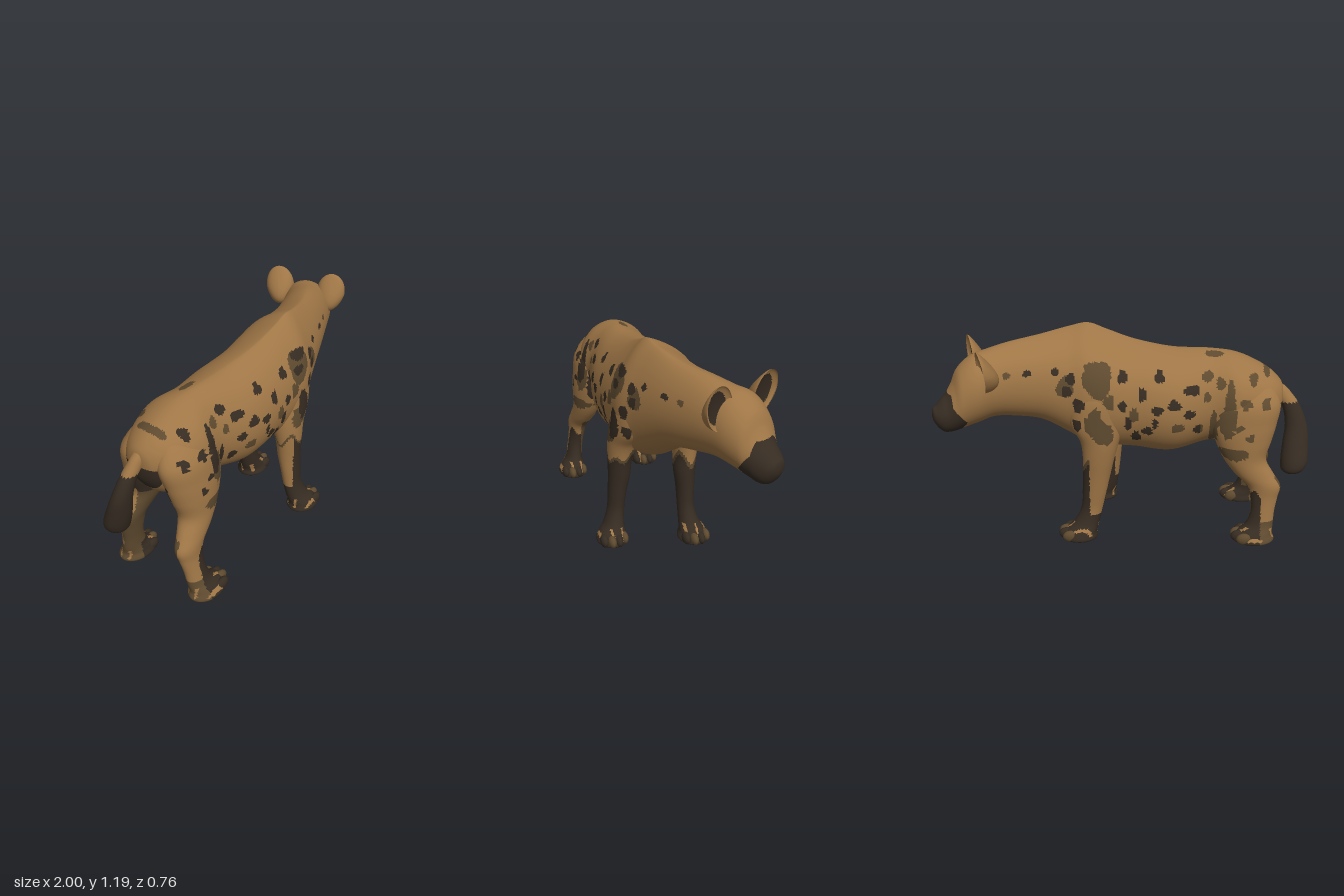
import * as THREE from 'three';

const mat = (name, color) => Object.assign(new THREE.MeshStandardMaterial({ color }), { name });
const coats = [mat('tan fur', 0x9f7646), mat('brown patch', 0x5e4a2f), mat('dark fur', 0x362c22)];
const TAN = 0, BROWN = 1, DARK = 2;

// Smooth interpolation through a table of cross-sections
function sample(rows, t) {
  const n = rows.length - 1, i = Math.min(Math.floor(t * n), n - 1), f = t * n - i;
  const at = (k) => rows[Math.max(0, Math.min(n, k))];
  return rows[0].map((_, c) => {
    const [a, b, d, e] = [at(i - 1)[c], at(i)[c], at(i + 1)[c], at(i + 2)[c]];
    return b + 0.5 * f * (d - a + f * (2 * a - 5 * b + 4 * d - e + f * (3 * (b - d) + e - a)));
  });
}

// Sort the faces into one group for each coat colour
function paintFaces(geo, paint) {
  const p = geo.attributes.position, idx = geo.index.array, bins = [[], [], []];
  for (let i = 0; i < idx.length; i += 3) {
    const tri = [idx[i], idx[i + 1], idx[i + 2]];
    const mid = (get) => tri.reduce((s, v) => s + get.call(p, v), 0) / 3;
    bins[paint(mid(p.getX), mid(p.getY), mid(p.getZ))].push(...tri);
  }
  geo.setIndex(bins.flat());
  geo.clearGroups();
  let start = 0;
  bins.forEach((b, m) => { if (b.length) geo.addGroup(start, b.length, m); start += b.length; });
  geo.computeVertexNormals();
  return geo;
}

// Skin closed rings; ring(t, angle) gives a point
function loft(name, ring, nu, nv, paint) {
  const pos = [], idx = [];
  for (let i = 0; i <= nu; i++) for (let j = 0; j < nv; j++) pos.push(...ring(i / nu, (j / nv) * Math.PI * 2));
  for (let i = 0; i < nu; i++) for (let j = 0; j < nv; j++) {
    const k = (j + 1) % nv, a = i * nv + j, b = i * nv + k, c = a + nv, d = b + nv;
    idx.push(...((i + j) % 2 ? [a, c, b, b, c, d] : [a, c, d, a, d, b]));
  }
  const geo = new THREE.BufferGeometry();
  geo.setAttribute('position', new THREE.Float32BufferAttribute(pos, 3));
  geo.setIndex(idx);
  const mesh = new THREE.Mesh(paintFaces(geo, paint), coats);
  mesh.name = name;
  return mesh;
}

// Spots: x, y, radius in x, radius in y
const darkSpots = [
  [-.67, .945, .022, .03], [-.43, .96, .03, .025], [-.35, .9, .045, .025], [-.18, .965, .026, .028],
  [-.26, .83, .035, .028], [-.34, .775, .03, .025], [-.63, .83, .03, .028], [-.74, .83, .024, .03],
  [-.6, .7, .025, .02], [-.66, .65, .02, .02], [.01, .965, .026, .03], [-.09, .88, .022, .035],
  [-.17, .8, .03, .025], [.01, .82, .022, .03], [.28, .955, .025, .03], [.36, .99, .018, .018],
  [.5, .99, .022, .016], [.3, .89, .025, .03], [.24, .82, .03, .035], [.25, .71, .022, .035],
  [-.39, .68, .025, .03], [-.12, .68, .03, .025], [-.06, .64, .025, .035], [-.02, .72, .02, .04],
  [-.16, .73, .015, .03]];
// Large blotches, paler on the far side
const blotches = [
  [.155, 1.01, .055, .03], [.13, .935, .04, .025], [.155, .72, .048, .085], [-.55, .81, .03, .13],
  [-.47, .68, .022, .11]];
const brownSpots = [
  [-.58, .55, .08, .035], [.14, .95, .075, .09], [.11, .66, .055, .06], [.31, .91, .045, .055],
  [-.28, .7, .035, .025], [.6, .99, .02, .016], [-.75, .96, .02, .02], [-.54, .72, .045, .08],
  [.08, .84, .03, .04], [-.43, .86, .02, .025], [-.05, .77, .025, .04], [-.5, .93, .025, .03]];
const hit = (list, x, y) => list.some(([cx, cy, rx, ry], i) => {
  const dx = (x - cx) / rx, dy = (y - cy) / ry, a = Math.atan2(dy, dx);
  return Math.hypot(dx, dy) < 1 + 0.1 * Math.sin(3 * a + i);
});
function spots(x, y, z) {
  if (hit(darkSpots, x, y)) return z < 0 && x < -0.4 ? BROWN : DARK;
  if (hit(blotches, x, y)) return z > 0 ? DARK : BROWN;
  return hit(brownSpots, x, y) ? BROWN : TAN;
}

// Trunk, neck and head: x, top, bottom, z, half width, ridge
const trunk = [
  [-.85, .84, .8, .01, 0, 0], [-.83, .9, .7, .015, .085, 0], [-.75, .97, .6, .02, .165, .1],
  [-.6, 1.04, .56, .02, .21, .2], [-.45, 1.06, .55, .025, .19, .4], [-.25, 1.065, .495, .025, .235, .5],
  [-.05, 1.1, .51, .035, .23, .7], [.1, 1.15, .52, .03, .23, 1], [.2, 1.185, .53, .03, .222, 1],
  [.3, 1.17, .59, .02, .19, .9], [.45, 1.14, .68, -.015, .16, .6], [.6, 1.12, .72, -.07, .145, .3],
  [.7, 1.1, .735, -.115, .142, .1], [.78, 1.08, .72, -.16, .145, -.1], [.85, 1.02, .7, -.19, .125, -.2],
  [.885, .945, .69, -.205, .105, -.1], [.915, .895, .685, -.215, .09, 0], [.943, .865, .69, -.228, .077, 0],
  [.967, .838, .715, -.238, .06, 0], [.986, .82, .75, -.245, .035, 0], [.992, .79, .78, -.247, 0, 0]];
function trunkRing(t, a) {
  const [x, top, bot, z, w, rise] = sample(trunk, t);
  const ridge = Math.max(0, rise), yaw = 0.38 * THREE.MathUtils.smoothstep(x, 0.25, 0.8);
  const s = Math.sin(a), c = Math.cos(a), up = Math.max(0, s);
  const full = Math.sign(c) * Math.abs(c) ** (1 + 0.5 * up * up * ridge);
  const side = Math.max(0, w) * full * (1 - 0.14 * rise * s) + 0.06 * ridge * up ** 4;
  return [x + side * Math.sin(yaw), (top + bot) / 2 + s * (top - bot) / 2, z + side * Math.cos(yaw)];
}
function trunkPaint(x, y, z) {
  // Distance along the turned muzzle
  const ahead = x * 0.93 - (z + 0.22) * 0.37, lip = y - 0.755;
  if (y < 0.9 && ahead > Math.min(0.832, 0.768 + Math.max(0.75 * lip, -0.5 * lip))) return DARK;
  if (x < -0.8 && y < 0.8) return DARK;
  if (y > 1 && Math.hypot((x + 0.47) / 0.05, z / 0.025) < 1) return BROWN;
  return spots(x, y, z);
}

// Legs and tail: y, x, z, half length in x, half width in z
const hind = [
  [.97, -.62, .1, 0, 0], [.93, -.63, .11, .11, .05], [.82, -.64, .14, .18, .1], [.7, -.63, .162, .175, .1],
  [.6, -.63, .175, .15, .095], [.5, -.64, .19, .115, .08], [.42, -.69, .21, .105, .065],
  [.35, -.745, .225, .092, .055], [.28, -.75, .235, .075, .047], [.2, -.745, .25, .065, .045],
  [.12, -.73, .265, .075, .05], [.075, -.7, .28, .1, .07], [.03, -.695, .287, .11, .08], [.02, -.695, .287, 0, 0]];
const fore = [
  [.99, .14, .12, 0, 0], [.94, .14, .13, .1, .065], [.84, .14, .165, .15, .086], [.7, .13, .18, .145, .09],
  [.6, .105, .2, .105, .078], [.5, .1, .216, .085, .065], [.4, .1, .222, .075, .059], [.3, .1, .235, .066, .05],
  [.2, .105, .247, .06, .046], [.12, .125, .265, .07, .055], [.07, .153, .285, .09, .074],
  [.028, .157, .289, .095, .08], [.02, .157, .289, 0, 0]];
const tail = [
  [.9, -.77, .02, 0, 0], [.87, -.8, .015, .05, .03], [.82, -.85, .01, .05, .035], [.75, -.9, 0, .05, .04],
  [.65, -.93, -.02, .06, .048], [.55, -.93, -.05, .07, .06], [.46, -.925, -.08, .073, .065],
  [.41, -.915, -.09, .055, .05], [.385, -.91, -.09, 0, 0]];
const limbRing = (rows) => (t, a) => {
  const [y, x, z, rx, rz] = sample(rows, t);
  return [x + Math.max(0, rx) * Math.cos(a), y, z - Math.max(0, rz) * Math.sin(a)];
};
// Far-side copy, stepping to another stance toward the foot
const otherSide = (rows, dx, dy, dz) => rows.map(([y, x, z, a, b]) => {
  const k = Math.max(0, 1 - y / 0.85);
  return [y + dy * k, x + dx * k, 0.05 - z + dz * k ** 1.5, a, b];
});

function nearForePaint(x, y, z) {
  const edge = 0.49 + 0.04 * Math.sin(x * 40) + 0.03 * Math.sin(z * 50);
  if (y > 0.05 && y < 0.11 && Math.sin(z * 110) > 0.8) return TAN;
  if (y < edge) return x < 0.065 && y > 0.2 ? TAN : DARK;
  return y < edge + 0.02 ? BROWN : spots(x, y, z);
}
function farForePaint(x, y, z) {
  const edge = 0.43 + 0.04 * Math.sin(x * 40) + 0.03 * Math.sin(z * 50);
  if (y > 0.04 && y < 0.1 && Math.sin(z * 110) > 0.8) return TAN;
  if (y > 0.16 && z < -0.15 && x < 0.19) return spots(x, y, z);
  return y < edge ? DARK : y < edge + 0.03 ? BROWN : spots(x, y, z);
}
function hindPaint(side) {
  return (x, y, z) => {
    const inner = (z - 0.025) * side < (y > 0.4 ? 0.13 : 0.2);
    if (inner && y < 0.7 && y > 0.14) return y > 0.52 ? DARK : BROWN;
    if (y > 0.05 && y < 0.11 && Math.sin(z * 110) > 0.7) return TAN;
    if (y < 0.3 + 0.03 * Math.sin(x * 60)) return x > -0.745 ? DARK : y < 0.15 ? BROWN : TAN;
    return spots(x, y, z);
  };
}

// Leg with four rounded toes
function leg(name, rows, paint) {
  const g = new THREE.Group();
  g.name = name;
  g.add(loft(name + 'Limb', limbRing(rows), 84, 44, paint));
  const [y, x, z, rx, rz] = rows[rows.length - 2];
  for (let i = 0; i < 4; i++) {
    const k = (i - 1.5) / 1.5;
    const toe = new THREE.Mesh(new THREE.SphereGeometry(1, 12, 8), coats[i % 2 ? DARK : BROWN]);
    toe.name = 'toe';
    toe.scale.set(0.043, 0.034, 0.023);
    toe.position.set(x + rx * (0.78 - 0.28 * k * k), y + 0.027, z + k * rz * 0.7);
    g.add(toe);
  }
  return g;
}

// Cupped ear with a dark hollow facing forward
function ear(name, x, y, z, yaw, roll) {
  const geo = new THREE.SphereGeometry(1, 40, 32), p = geo.attributes.position;
  for (let i = 0; i < p.count; i++) {
    const px = p.getX(i), py = p.getY(i), pz = p.getZ(i);
    const depth = px > 0 ? -0.025 * px : 0.075 * px * (1 - 0.6 * py);
    p.setXYZ(i, depth + 0.008 * py, py * 0.11, pz * (0.082 + 0.012 * Math.min(0, py)));
  }
  paintFaces(geo, (a, b, c) => a - 0.073 * b > -0.0265 && Math.hypot(b / 0.082, c / 0.058) < 1 ? DARK : TAN);
  const mesh = new THREE.Mesh(geo, coats);
  mesh.name = name;
  mesh.position.set(x, y, z);
  mesh.rotation.set(roll, yaw, 0);
  return mesh;
}

export function createModel() {
  const model = new THREE.Group();
  model.name = 'spottedAnimal';
  model.add(
    loft('trunkAndHead', trunkRing, 300, 148, trunkPaint),
    leg('frontLegNear', fore, nearForePaint),
    leg('frontLegFar', otherSide(fore, 0.1, -0.02, 0.09), farForePaint),
    leg('hindLegNear', hind, hindPaint(1)),
    leg('hindLegFar', otherSide(hind, -0.02, 0, 0.045), hindPaint(-1)),
    loft('tail', limbRing(tail), 60, 28, (x, y) => y > 0.78 ? TAN : DARK),
    ear('earNear', 0.82, 1.035, -0.022, 0.4, 0.1),
    ear('earFar', 0.71, 1.04, -0.307, 0.43, -0.15));
  return model;
}
